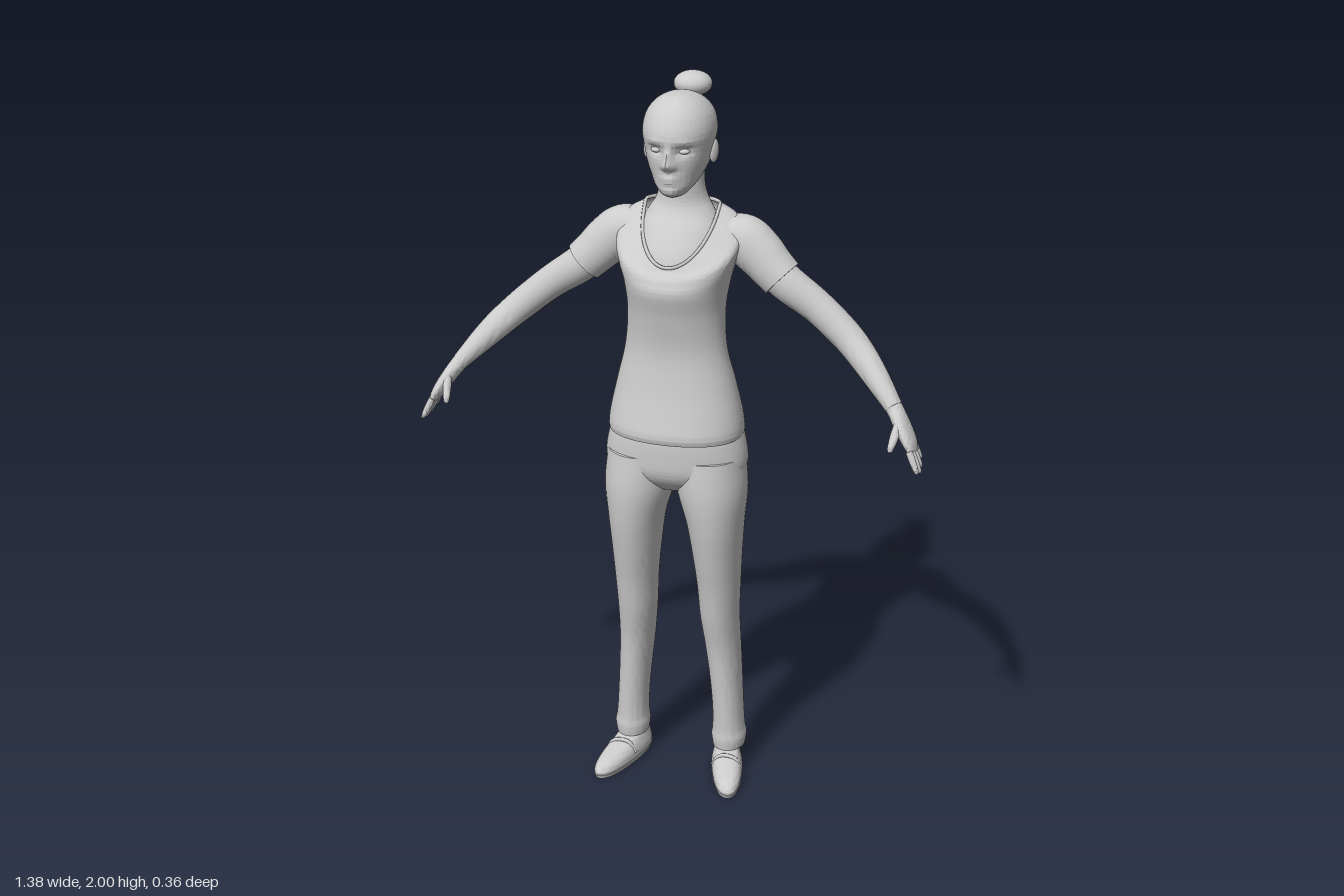
import * as THREE from 'three';
import { toCreasedNormals } from 'three/addons/utils/BufferGeometryUtils.js';

const grey = new THREE.MeshStandardMaterial({ color: 0xcccccc, side: THREE.DoubleSide });
grey.name = 'plain grey';

// Smoothly interpolate a list of number rows at t in 0..1
function sample(rows, t) {
  const f = t * (rows.length - 1);
  const i = Math.min(Math.floor(f), rows.length - 2);
  const u = f - i;
  const row = (k) => rows[Math.max(0, Math.min(rows.length - 1, k))];
  return rows[i].map((b, k) => {
    const a = row(i - 1)[k] ?? 0, c = row(i + 1)[k] ?? 0, d = row(i + 2)[k] ?? 0;
    return b + 0.5 * u * (c - a + u * (2 * a - 5 * b + 4 * c - d + u * (3 * (b - c) + d - a)));
  });
}

// Skin a surface over closed rings; ring(t, angle) returns a point
function skin(ring, n, rings, capEnd = true) {
  const pos = [], index = [];
  for (let i = 0; i <= rings; i++)
    for (let j = 0; j < n; j++) pos.push(...ring(i / rings, (j / n) * Math.PI * 2).toArray());
  for (let i = 0; i < rings; i++)
    for (let j = 0; j < n; j++) {
      const a = i * n + j, b = i * n + (j + 1) % n;
      index.push(a, a + n, b, b, a + n, b + n);
    }
  const cap = (start, flip) => {
    const mid = pos.length / 3, c = [0, 0, 0];
    for (let j = 0; j < n; j++) for (let k = 0; k < 3; k++) c[k] += pos[(start + j) * 3 + k] / n;
    pos.push(...c);
    for (let j = 0; j < n; j++) {
      const a = start + j, b = start + (j + 1) % n;
      if (flip) index.push(mid, b, a); else index.push(mid, a, b);
    }
  };
  cap(0, false);
  if (capEnd) cap(rings * n, true);
  const g = new THREE.BufferGeometry();
  g.setAttribute('position', new THREE.Float32BufferAttribute(pos, 3));
  g.setIndex(index);
  return toCreasedNormals(g, 1.0);
}

// Horizontal rings, bottom to top: [y, x, z, half width, front depth, back depth, front drop]
function stack(rows, { n = 40, rings = 40, power = 1, shape, open = false } = {}) {
  const bend = (v) => Math.sign(v) * Math.abs(v) ** power;
  return skin((t, a) => {
    const [y, x, z, w, f, b, drop = 0] = sample(rows, t);
    const c = bend(Math.cos(a)), s = bend(Math.sin(a));
    const p = new THREE.Vector3(x + w * c, y - drop * Math.max(0, s), z + (s > 0 ? f : b) * s);
    if (shape) shape(p);
    return p;
  }, n, rings, !open);
}

// Rings square to a path: [x, y, z, thickness radius, z radius]
function limb(rows, n = 24, rings = 28) {
  return skin((t, a) => {
    const [x, y, z, ru, rv] = sample(rows, t);
    const p = sample(rows, Math.max(0, t - 0.02)), q = sample(rows, Math.min(1, t + 0.02));
    const T = new THREE.Vector3(q[0] - p[0], q[1] - p[1], q[2] - p[2]).normalize();
    const V = new THREE.Vector3(0, 0, 1).addScaledVector(T, -T.z).normalize();
    const U = T.clone().cross(V);
    return new THREE.Vector3(x, y, z).addScaledVector(U, ru * Math.cos(a)).addScaledVector(V, rv * Math.sin(a));
  }, n, rings);
}

function ball(x, y, z, rx, ry, rz) {
  return new THREE.SphereGeometry(1, 28, 18).scale(rx, ry, rz).translate(x, y, z);
}

// Mirror across x = 0 and restore the corner order
function mirrored(geometry) {
  const g = geometry.index ? geometry.toNonIndexed() : geometry.clone();
  for (const key of ['position', 'normal']) {
    const a = g.attributes[key];
    for (let i = 0; i < a.count; i++) a.setX(i, -a.getX(i));
    for (let i = 0; i < a.count; i += 3)
      for (let k = 0; k < 3; k++) {
        const v = a.getComponent(i + 1, k);
        a.setComponent(i + 1, k, a.getComponent(i + 2, k));
        a.setComponent(i + 2, k, v);
      }
  }
  return g;
}

export function createModel() {
  const model = new THREE.Group();
  model.name = 'standingWoman';
  const add = (name, g) => {
    const m = new THREE.Mesh(g, grey);
    m.name = name;
    model.add(m);
  };
  const pair = (name, g) => {
    add('left' + name, g);
    add('right' + name, mirrored(g));
  };

  // Head, with the face pushed in and out by soft bumps
  const bump = (p, x, y, sx, sy, h) => h * Math.exp(-(((p.x - x) / sx) ** 2) - ((p.y - y) / sy) ** 2);
  const face = (p) => {
    if (p.z < 0.02) return;
    p.z += bump(p, 0, 1.808, 0.014, 0.014, 0.026) + bump(p, 0, 1.832, 0.011, 0.02, 0.014)
      + bump(p, 0, 1.774, 0.024, 0.007, 0.008) + bump(p, 0, 1.762, 0.02, 0.006, 0.007)
      + bump(p, 0, 1.735, 0.022, 0.012, 0.006);
    for (const s of [-1, 1])
      p.z += bump(p, s * 0.036, 1.843, 0.02, 0.013, -0.013) + bump(p, s * 0.038, 1.866, 0.026, 0.008, 0.004)
        + bump(p, s * 0.013, 1.803, 0.008, 0.008, 0.006);
  };
  add('head', stack([
    [1.715, 0, 0.05, 0.012, 0.02, 0.02], [1.724, 0, 0.045, 0.032, 0.042, 0.05],
    [1.745, 0, 0.03, 0.052, 0.066, 0.085], [1.77, 0, 0.01, 0.067, 0.086, 0.09],
    [1.80, 0, 0, 0.08, 0.099, 0.105], [1.84, 0, -0.005, 0.089, 0.108, 0.118],
    [1.88, 0, -0.01, 0.095, 0.118, 0.122], [1.92, 0, -0.012, 0.087, 0.104, 0.113],
    [1.95, 0, -0.01, 0.065, 0.077, 0.085], [1.968, 0, -0.006, 0.036, 0.045, 0.048],
    [1.974, 0, -0.004, 0.006, 0.008, 0.008],
  ], { n: 100, rings: 90, shape: face }));
  pair('Eye', ball(0.036, 1.842, 0.08, 0.015, 0.0075, 0.012));
  pair('Ear', ball(0, 0, 0, 0.009, 0.031, 0.018).rotateY(-0.35).rotateX(-0.15).translate(0.09, 1.825, -0.012));

  // Hair gathered at the back into a top bun
  add('gatheredHair', ball(0, 1.885, -0.108, 0.052, 0.062, 0.042));
  add('hairTie', ball(0, 1.935, -0.122, 0.026, 0.03, 0.026));
  add('hairBun', ball(0, 1.967, -0.132, 0.051, 0.033, 0.048));

  // Neck and the upper chest showing inside the collar
  add('neckAndChest', stack([
    [1.50, 0, 0, 0.12, 0.115, 0.08], [1.56, 0, 0, 0.12, 0.098, 0.08],
    [1.62, 0, -0.02, 0.11, 0.083, 0.07], [1.66, 0, -0.03, 0.088, 0.065, 0.06],
    [1.69, 0, -0.035, 0.07, 0.06, 0.057], [1.73, 0, -0.03, 0.06, 0.056, 0.06],
    [1.80, 0, -0.03, 0.058, 0.06, 0.066],
  ]));

  // T-shirt with a scooped neckline
  add('shirtBody', stack([
    [1.055, 0, 0.02, 0.184, 0.128, 0.126, 0], [1.075, 0, 0.02, 0.186, 0.132, 0.13, 0],
    [1.12, 0, 0.02, 0.18, 0.122, 0.122, 0], [1.2, 0, 0.02, 0.162, 0.105, 0.10, 0],
    [1.3, 0, 0.025, 0.138, 0.09, 0.084, 0], [1.4, 0, 0.02, 0.131, 0.11, 0.092, 0],
    [1.48, 0, 0.01, 0.14, 0.138, 0.11, 0.01], [1.55, 0, 0, 0.158, 0.142, 0.113, 0.05],
    [1.61, 0, -0.02, 0.168, 0.155, 0.095, 0.095], [1.65, 0, -0.035, 0.145, 0.16, 0.075, 0.125],
    [1.675, 0, -0.035, 0.10, 0.152, 0.063, 0.135],
  ], { n: 64, rings: 70, power: 0.9, open: true }));
  const collar = [];
  for (let i = 0; i < 40; i++) {
    const a = (i / 40) * Math.PI * 2, s = Math.sin(a);
    collar.push(new THREE.Vector3(0.1 * Math.cos(a), 1.675 - 0.135 * Math.max(0, s), -0.035 + (s > 0 ? 0.152 : 0.063) * s));
  }
  add('collar', new THREE.TubeGeometry(new THREE.CatmullRomCurve3(collar, true), 80, 0.005, 6, true));
  pair('Sleeve', limb([
    [0.09, 1.60, -0.045, 0.045, 0.055], [0.16, 1.585, -0.047, 0.066, 0.062],
    [0.205, 1.553, -0.042, 0.066, 0.06], [0.24, 1.52, -0.035, 0.061, 0.056],
    [0.272, 1.49, -0.03, 0.058, 0.054],
  ], 32));

  // Bare arms and hands
  pair('Arm', limb([
    [0.21, 1.543, -0.037, 0.048, 0.045], [0.28, 1.483, -0.03, 0.05, 0.046],
    [0.37, 1.42, -0.03, 0.045, 0.042], [0.46, 1.345, -0.015, 0.042, 0.04],
    [0.53, 1.28, 0.027, 0.036, 0.034], [0.60, 1.205, 0.077, 0.023, 0.027],
  ]));
  pair('Palm', limb([
    [0.59, 1.215, 0.07, 0.024, 0.026], [0.605, 1.198, 0.08, 0.022, 0.028],
    [0.628, 1.165, 0.098, 0.02, 0.04], [0.65, 1.13, 0.114, 0.017, 0.041],
    [0.662, 1.107, 0.121, 0.011, 0.036],
  ]));
  const finger = (x, y, z, dx, dy, dz, r) => limb([0, 0.35, 0.7, 0.93, 1].map((t, i) => {
    const radius = r * [1, 1, 0.85, 0.6, 0.2][i];
    return [x + dx * t, y + dy * t, z + dz * t, radius, radius];
  }), 10, 10);
  [0.045, 0.058, 0.062, 0.055].forEach((len, i) =>
    pair('Finger' + (i + 1), finger(0.656, 1.118, 0.088 + i * 0.021, len * 0.48, -len, len * (i - 1) * 0.13, 0.0095)));
  pair('Thumb', finger(0.62, 1.175, 0.122, -0.012, -0.058, 0.048, 0.012));

  // Trousers
  add('trouserHips', stack([
    [0.90, 0, 0.02, 0.13, 0.07, 0.08], [0.93, 0, 0.02, 0.172, 0.10, 0.108],
    [0.96, 0, 0.02, 0.193, 0.115, 0.122], [1.0, 0, 0.018, 0.196, 0.121, 0.126],
    [1.06, 0, 0.015, 0.183, 0.123, 0.12], [1.09, 0, 0.015, 0.165, 0.11, 0.10],
  ], { n: 56, power: 0.92 }));
  pair('TrouserLeg', stack([
    [0.07, 0.145, -0.02, 0.046, 0.057, 0.058], [0.10, 0.145, -0.02, 0.05, 0.06, 0.062],
    [0.13, 0.144, -0.02, 0.046, 0.058, 0.058], [0.2, 0.141, -0.02, 0.044, 0.06, 0.06],
    [0.3, 0.134, -0.02, 0.046, 0.065, 0.065], [0.4, 0.126, -0.015, 0.05, 0.07, 0.07],
    [0.5, 0.12, 0, 0.055, 0.075, 0.075], [0.6, 0.119, 0.01, 0.06, 0.082, 0.085],
    [0.7, 0.116, 0.018, 0.068, 0.095, 0.093], [0.8, 0.112, 0.025, 0.079, 0.106, 0.103],
    [0.9, 0.102, 0.025, 0.097, 0.114, 0.114], [1.0, 0.092, 0.02, 0.098, 0.112, 0.118],
  ], { rings: 60 }));

  // Feet in flat strapped shoes, toes turned slightly out
  const turnOut = (p) => { p.x += 0.25 * p.z; };
  pair('Ankle', stack([[0.03, 0.145, -0.02, 0.032, 0.06, 0.045], [0.1, 0.147, -0.02, 0.03, 0.036, 0.04]], { n: 24, rings: 8 }));
  pair('Sole', stack([
    [0, 0.145, 0.02, 0.043, 0.152, 0.096], [0.012, 0.145, 0.02, 0.046, 0.157, 0.101],
  ], { rings: 2, power: 0.9, shape: turnOut }));
  pair('Shoe', stack([
    [0.01, 0.145, 0.02, 0.044, 0.154, 0.098], [0.025, 0.145, 0.02, 0.046, 0.152, 0.099],
    [0.042, 0.145, 0.015, 0.042, 0.125, 0.092], [0.058, 0.145, 0, 0.036, 0.075, 0.075],
    [0.072, 0.145, -0.015, 0.033, 0.042, 0.058],
  ], { rings: 16, power: 0.9, shape: turnOut }));
  const strap = [[0.117, 0.03, 0.055], [0.135, 0.06, 0.055], [0.16, 0.066, 0.055], [0.184, 0.058, 0.055], [0.2, 0.03, 0.055]];
  pair('ShoeStrap', new THREE.TubeGeometry(new THREE.CatmullRomCurve3(strap.map((p) => new THREE.Vector3(...p))), 20, 0.006, 8));

  return model;
}
